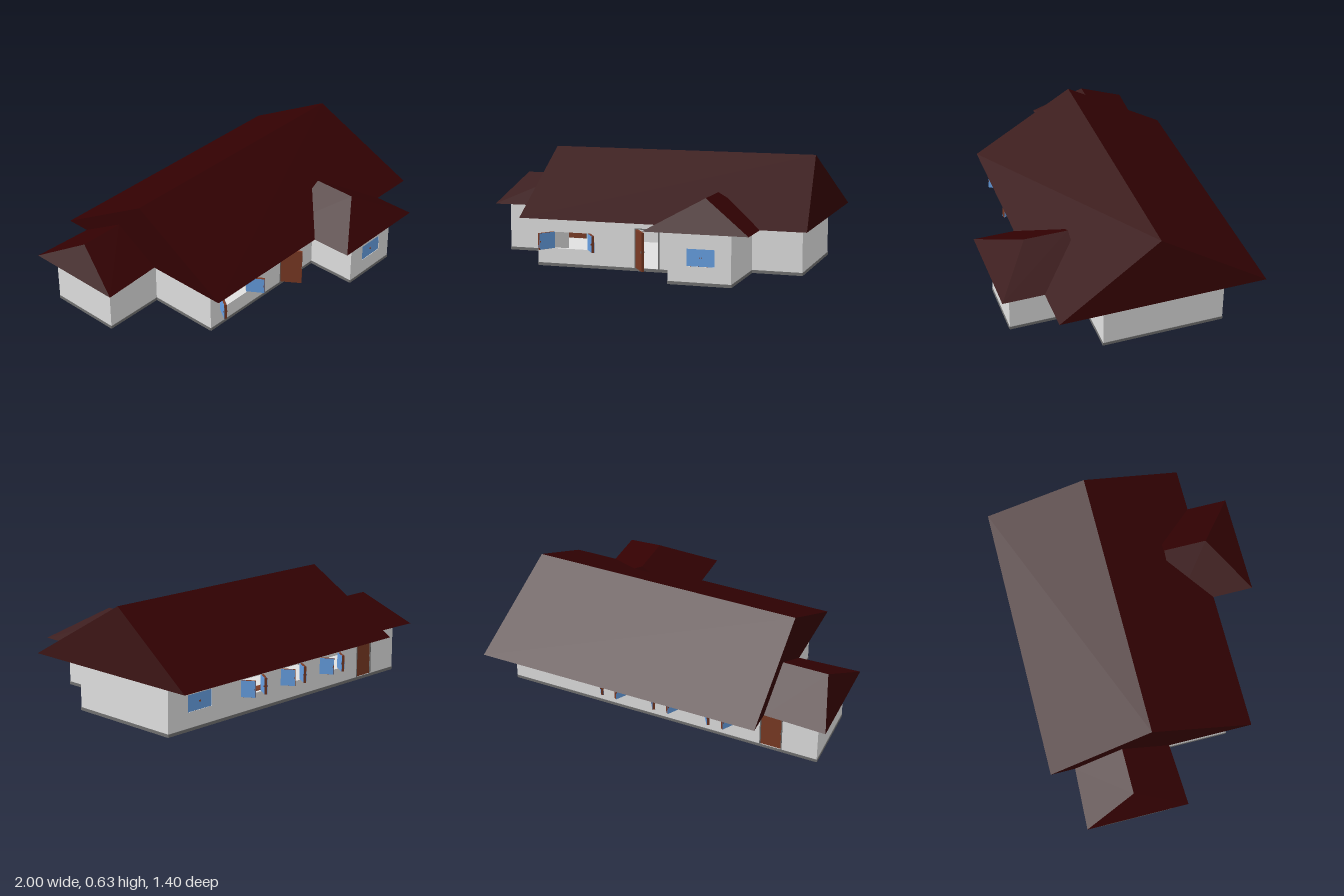
import * as THREE from 'three';

const paint = (name, color) => Object.assign(new THREE.MeshStandardMaterial({ color }), { name });

const EAVE = 0.287, BASE = 0.017, T = 0.02;

export function createModel() {
  const house = new THREE.Group();
  house.name = 'house';
  const roofRed = paint('roof red', 0x330102);
  const wallWhite = paint('wall white', 0xe0e0e0);
  const stoneGrey = paint('stone grey', 0x707070);
  const glassBlue = paint('glass blue', 0x669fe2);
  const woodBrown = paint('wood brown', 0x7a3a24);

  const add = (parent, name, geo, mat, x = 0, y = 0, z = 0) => {
    const m = new THREE.Mesh(geo, mat);
    m.name = name;
    m.position.set(x, y, z);
    parent.add(m);
    return m;
  };
  const box = (parent, name, mat, w, h, d, x, y, z) =>
    add(parent, name, new THREE.BoxGeometry(w, h, d), mat, x, y, z);

  // Horizontal slab from a counter-clockwise plan of [x, z] points
  const slab = (name, plan, h, y, mat) => {
    const shape = new THREE.Shape(plan.map(([x, z]) => new THREE.Vector2(x, -z)));
    const geo = new THREE.ExtrudeGeometry(shape, { depth: h, bevelEnabled: false });
    geo.rotateX(-Math.PI / 2);
    return add(house, name, geo, mat, 0, y, 0);
  };

  // Roof over four eave corners; the ridge runs from edge d-a to edge b-c
  function roof(name, eave, ridge, top) {
    const [a, b, c, d] = eave.map(([x, z]) => [x, EAVE, z]);
    const [r, s] = ridge.map(([x, z]) => [x, top, z]);
    const tris = [a, b, s, a, s, r, c, d, r, c, r, s, b, c, s, d, a, r, a, c, b, a, d, c];
    const geo = new THREE.BufferGeometry();
    geo.setAttribute('position', new THREE.Float32BufferAttribute(tris.flat(), 3));
    geo.computeVertexNormals();
    add(house, name, geo, roofRed);
    // Pale soffit set in from the eaves
    const cx = (a[0] + c[0]) / 2, cz = (a[2] + c[2]) / 2;
    const inset = eave.map(([x, z]) => [x - Math.sign(x - cx) * 0.022, z - Math.sign(z - cz) * 0.022]);
    slab(name + 'Soffit', inset, 0.002, EAVE - 0.002, wallWhite);
  }
  roof('mainRoof', [[-0.645, 0.465], [1, 0.465], [1, -0.705], [-0.645, -0.705]],
    [[-0.645, -0.12], [0.92, -0.12]], 0.635);
  roof('frontWingRoof', [[0.16, 0.24], [0.16, 0.7], [0.745, 0.7], [0.745, 0.24]],
    [[0.452, 0.24], [0.452, 0.49]], 0.45);
  roof('sideWingRoof', [[-0.645, -0.565], [-1, -0.58], [-1, 0], [-0.645, -0.018]],
    [[-0.645, -0.29], [-0.905, -0.29]], 0.45);

  // A hinged leaf: dir +1 reaches along +x from its hinge, -1 along -x
  function leaf(parent, name, x, y0, y1, w, dir, angle, glazed) {
    const g = new THREE.Group();
    g.name = name;
    g.position.set(x, (y0 + y1) / 2, -0.01);
    g.rotation.y = -dir * angle;
    const h = y1 - y0, cx = dir * w / 2;
    box(g, 'leafCore', woodBrown, w, h, 0.014, cx, 0, 0);
    if (glazed) {
      for (const z of [-0.0075, 0.0075]) box(g, 'pane', glassBlue, w - 0.001, h - 0.001, 0.001, cx, 0, z);
    }
    for (const z of [-0.009, 0.009]) {
      box(g, 'handle', glazed ? woodBrown : stoneGrey, 0.003, 0.009, 0.004, dir * (w - 0.004), 0, z);
    }
    parent.add(g);
  }

  function windowPair(parent, o) {
    for (const dir of [1, -1]) {
      leaf(parent, 'windowLeaf', o.c - dir * o.w / 2, o.y0, o.y1, o.w / 2, dir, o.angle, true);
    }
  }

  function door(parent, o) {
    leaf(parent, 'doorLeaf', o.c - o.w / 2 + 0.004, o.y0, o.y1 - 0.004, o.w - 0.008, 1, o.angle, false);
    for (const dir of [-1, 1]) {
      box(parent, 'doorJamb', stoneGrey, 0.006, o.y1 - o.y0, T + 0.002, o.c + dir * o.w / 2, (o.y0 + o.y1) / 2, -T / 2);
    }
    box(parent, 'doorLintel', stoneGrey, o.w + 0.006, 0.006, T + 0.002, o.c, o.y1, -T / 2);
  }

  // One wall between plan points, outer face at local z = 0
  function wall(p, q, openings) {
    const dx = q[0] - p[0], dz = q[1] - p[1], len = Math.hypot(dx, dz);
    const g = new THREE.Group();
    g.name = 'wallSection';
    g.position.set(p[0], 0, p[1]);
    g.rotation.y = Math.atan2(-dz, dx);
    const rect = (Kind, x0, x1, y0, y1) => new Kind([[x0, y0], [x1, y0], [x1, y1], [x0, y1]]
      .map(([x, y]) => new THREE.Vector2(x, y)));
    const shape = rect(THREE.Shape, 0, len, BASE, EAVE);
    for (const o of openings) {
      shape.holes.push(rect(THREE.Path, o.c - o.w / 2, o.c + o.w / 2, o.y0 + (o.door ? 0.001 : 0), o.y1));
      (o.door ? door : windowPair)(g, o);
    }
    add(g, 'wall', new THREE.ExtrudeGeometry(shape, { depth: T, bevelEnabled: false }), wallWhite, 0, 0, -T);
    // Grey plinth band along the foot of the wall
    box(g, 'plinthBand', stoneGrey, len, BASE, 0.003, len / 2, BASE / 2, 0.0015);
    house.add(g);
  }

  const win = (c, w, angle) => ({ c, w, y0: 0.103, y1: 0.197, angle });
  const entry = (c, w, angle) => ({ c, w, y0: BASE, y1: 0.238, angle, door: true });
  const plan = [[-0.935, -0.075], [-0.58, -0.075], [-0.58, 0.345], [0.285, 0.345], [0.285, 0.635],
    [0.635, 0.635], [0.635, 0.195], [0.92, 0.195], [0.92, -0.497], [-0.935, -0.497]];
  // Openings by wall index, measured along the wall from its first point
  const openings = {
    2: [win(0.198, 0.21, 2.15), entry(0.652, 0.138, 0.97)],
    4: [win(0.182, 0.155, 0)],
    8: [win(0.232, 0.175, 0), win(0.63, 0.175, 1.0), win(0.95, 0.175, 1.0), win(1.28, 0.175, 1.0),
      entry(1.585, 0.125, 0)],
  };
  plan.forEach((p, i) => wall(p, plan[(i + 1) % plan.length], openings[i] || []));

  // Floor slab
  slab('floor', plan, BASE, 0, wallWhite);

  // Low cupboard facing the entrance, with a shelf line, and a taller cabinet by the back window
  box(house, 'cupboard', woodBrown, 0.2, 0.083, 0.06, 0.1, BASE + 0.0415, -0.43);
  box(house, 'cupboardGap', stoneGrey, 0.2, 0.003, 0.002, 0.1, 0.06, -0.4);
  box(house, 'cabinet', woodBrown, 0.1, 0.125, 0.05, -0.055, BASE + 0.0625, -0.43);

  return house;
}
